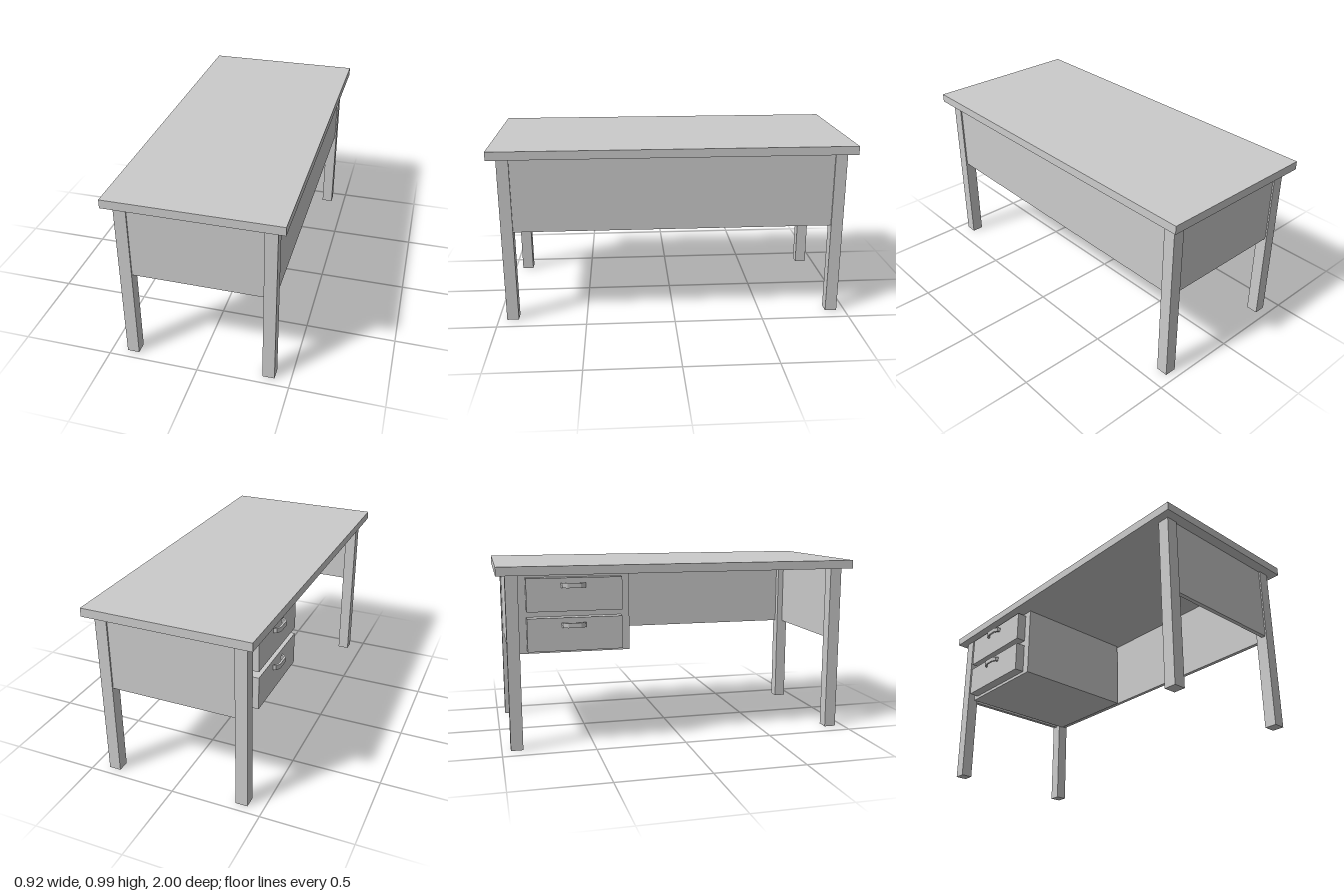
import * as THREE from 'three';

const grey = new THREE.MeshStandardMaterial({ color: 0xcccccc, flatShading: true });

export function createModel() {
  const desk = new THREE.Group();
  desk.name = 'desk';

  // Box given by its lower and upper limits on each axis
  function box(name, [x0, x1], [y0, y1], [z0, z1]) {
    const mesh = new THREE.Mesh(new THREE.BoxGeometry(x1 - x0, y1 - y0, z1 - z0), grey);
    mesh.position.set((x0 + x1) / 2, (y0 + y1) / 2, (z0 + z1) / 2);
    mesh.name = name;
    desk.add(mesh);
  }

  box('desktop', [-0.46, 0.46], [0.945, 0.992], [-1, 1]);

  // Four square legs, and a panel between the legs at each end
  for (const z of [-1, 1]) {
    const span = (a, b) => (z > 0 ? [a, b] : [-b, -a]);
    box('leg', [0.348, 0.414], [0, 0.945], span(0.887, 0.953));
    box('leg', [-0.414, -0.348], [0, 0.945], span(0.887, 0.953));
    box('endPanel', [-0.348, 0.348], [0.525, 0.945], span(0.922, 0.945));
  }

  // Long panel closing one side
  box('modestyPanel', [0.383, 0.406], [0.525, 0.945], [-0.887, 0.887]);

  // Drawer cabinet
  box('cabinet', [-0.372, 0.372], [0.52, 0.945], [-0.885, -0.29]);

  // Angular bow handle: an outer outline and a thinner inner one
  const outer = [[0, -0.066], [0.016, -0.06], [0.03, -0.035], [0.03, 0.035], [0.016, 0.06], [0, 0.066]];
  const inner = [[0, 0.054], [0.011, 0.049], [0.019, 0.03], [0.019, -0.03], [0.011, -0.049], [0, -0.054]];
  const outline = new THREE.Shape([...outer, ...inner].map(([out, z]) => new THREE.Vector2(-out, z)));
  const handleGeometry = new THREE.ExtrudeGeometry(outline, { depth: 0.026, bevelEnabled: false });
  handleGeometry.translate(0, 0, -0.013).rotateX(-Math.PI / 2);

  // Two drawers, each with a handle
  for (const [bottom, top, handleY] of [[0.538, 0.716, 0.677], [0.75, 0.927, 0.888]]) {
    box('drawerFront', [-0.429, -0.37], [bottom, top], [-0.847, -0.338]);
    const handle = new THREE.Mesh(handleGeometry, grey);
    handle.position.set(-0.431, handleY, -0.6);
    handle.name = 'drawerHandle';
    desk.add(handle);
  }

  return desk;
}
